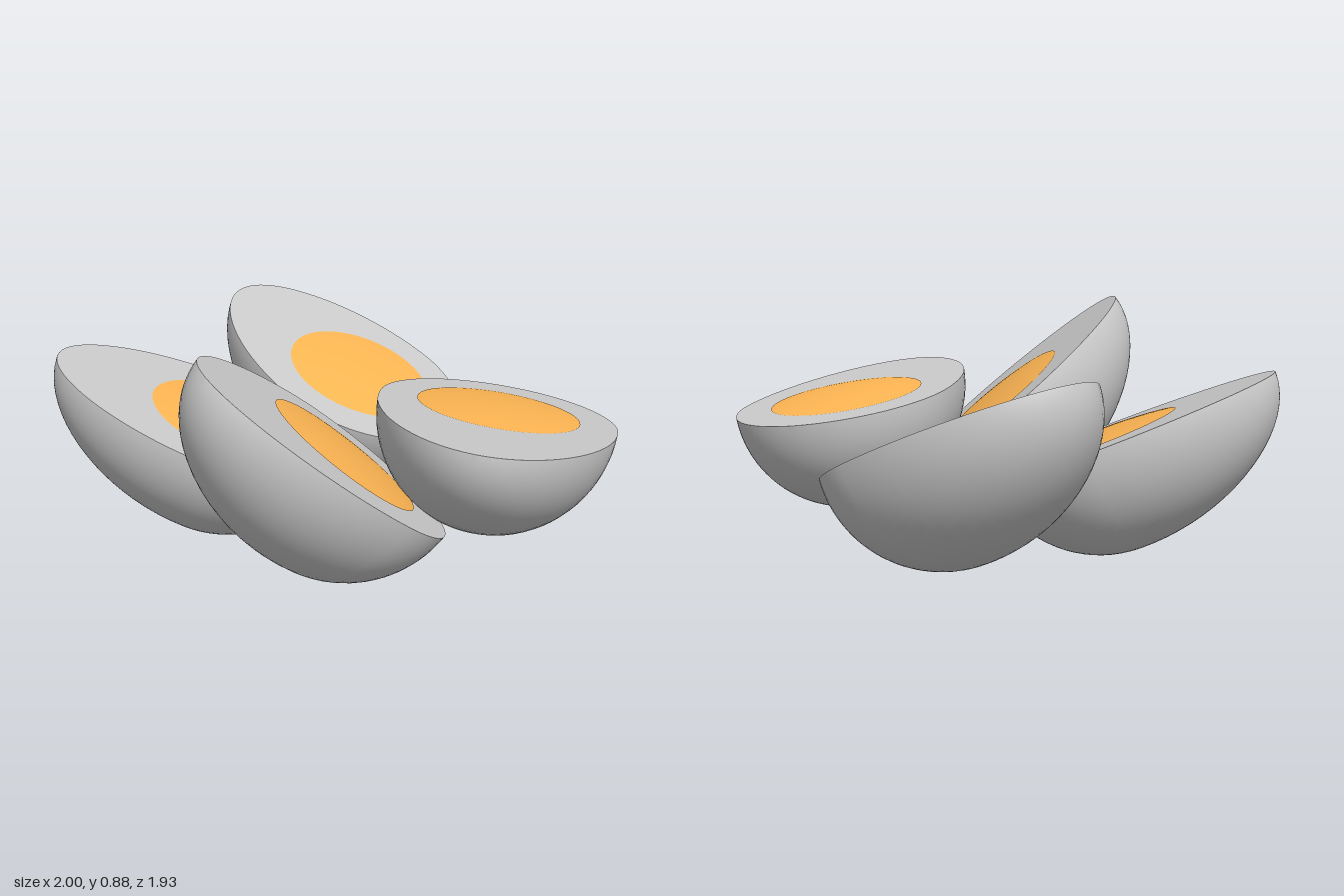
import * as THREE from 'three';

const BLUNT = 0.42, TIP = 0.65, RADIUS = 0.415, YOLK = 0.285, YOLK_RISE = 0.02;

// Egg profile from blunt end to narrow end, axis along y, yolk centre at the origin
function eggProfile(steps = 40) {
  const points = [];
  for (let i = 0; i <= steps; i++) {
    const t = -Math.cos((i / steps) * Math.PI);
    const taper = t > 0 ? 1 - 0.08 * t * t : 1;
    const r = RADIUS * Math.sqrt(Math.max(0, 1 - t * t)) * taper;
    points.push(new THREE.Vector2(r, t * (t > 0 ? TIP : BLUNT)));
  }
  return points;
}

// Half egg: cut face looks along local -x, narrow end along local +y
function createHalfEgg(name, center, normal, tipDirection) {
  const egg = new THREE.Group();
  egg.name = name;
  const white = new THREE.MeshStandardMaterial({ color: 0xcccccc });
  const orange = new THREE.MeshStandardMaterial({ color: 0xffb653 });
  const add = (part, geometry, material) => {
    const mesh = new THREE.Mesh(geometry, material);
    mesh.name = part;
    egg.add(mesh);
  };
  const profile = eggProfile();

  // Rounded outside
  add('eggWhiteShell', new THREE.LatheGeometry(profile, 40, 0, Math.PI), white);

  // Flat cut face
  const mirrored = profile.slice(1, -1).reverse().map(p => new THREE.Vector2(-p.x, p.y));
  const face = new THREE.ShapeGeometry(new THREE.Shape([...profile, ...mirrored]));
  add('eggWhiteCutFace', face.rotateY(-Math.PI / 2), white);

  // Shallow yolk dome
  const R = (YOLK ** 2 + YOLK_RISE ** 2) / (2 * YOLK_RISE);
  const yolk = new THREE.SphereGeometry(R, 48, 8, 0, Math.PI * 2, 0, Math.asin(YOLK / R));
  yolk.translate(0, YOLK_RISE - R + 0.002, 0).rotateZ(Math.PI / 2);
  add('yolk', yolk, orange);

  // Orient by cut-face normal and narrow-end direction
  const x = new THREE.Vector3(...normal).normalize().negate();
  const y = new THREE.Vector3(...tipDirection);
  y.addScaledVector(x, -y.dot(x)).normalize();
  const z = new THREE.Vector3().crossVectors(x, y);
  egg.quaternion.setFromRotationMatrix(new THREE.Matrix4().makeBasis(x, y, z));
  egg.position.set(...center);
  return egg;
}

export function createModel() {
  const model = new THREE.Group();
  model.name = 'halvedEggs';
  model.add(
    createHalfEgg('leftEggHalf', [0.58, 0.515, 0.07], [0.132, 1, -0.12], [-0.13, 0.13, 0.99]),
    createHalfEgg('rightEggHalf', [-0.395, 0.405, -0.02], [0.38, 0.925, 0], [-0.92, 0.38, 0.04]),
    createHalfEgg('backEggHalf', [0.05, 0.44, -0.5], [0.34, 0.92, 0.18], [-0.5, 0.25, -0.35]),
    createHalfEgg('frontEggHalf', [0.08, 0.48, 0.45], [0.59, 0.77, -0.19], [-0.37, 0.385, 0.37]),
  );
  return model;
}
